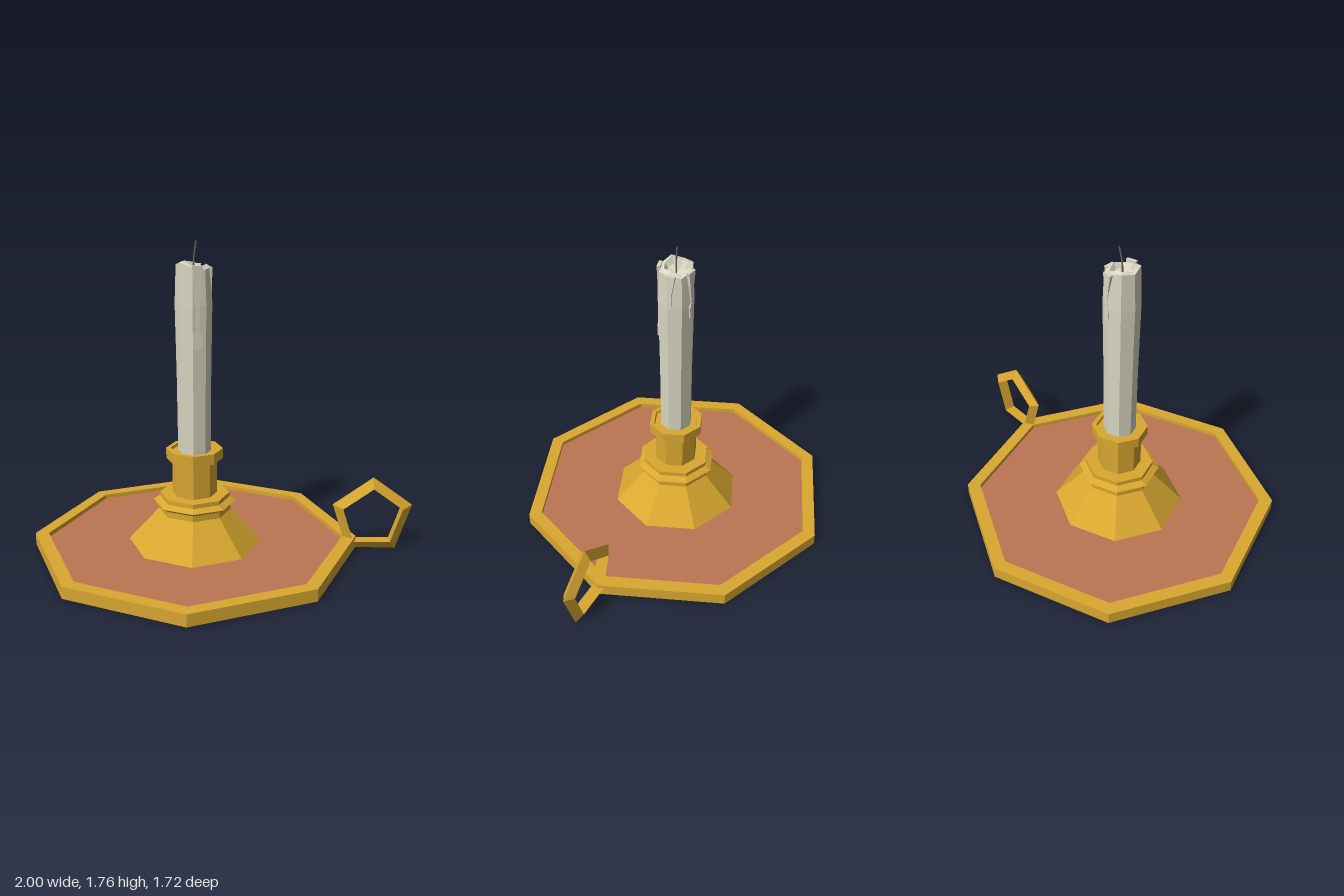
import * as THREE from 'three';

const mat = (name, color) => {
  const m = new THREE.MeshStandardMaterial({ color, flatShading: true });
  m.name = name;
  return m;
};

export function createModel() {
  const gold = mat('gold', 0xd9a830);
  const copper = mat('copper', 0xbc7552);
  const wax = mat('wax', 0xd9d7c3);
  const char = mat('charred wick', 0x66645c);

  const model = new THREE.Group();
  model.name = 'candlestick';
  // Everything but the handle turns around the candle axis
  const stand = new THREE.Group();
  stand.name = 'stand';
  stand.position.x = -0.14;
  model.add(stand);

  const add = (parent, name, geometry, material) => {
    const mesh = new THREE.Mesh(geometry, material);
    mesh.name = name;
    parent.add(mesh);
    return mesh;
  };
  // Eight-sided turned part from [radius, height] pairs, listed bottom to top
  const turned = (points) => new THREE.LatheGeometry(
    points.map(([r, y]) => new THREE.Vector2(r, y)), 8, Math.PI / 8 - 0.015);

  // Tray with raised rim
  const floorY = 0.045;
  add(stand, 'trayRim', turned([[0, 0], [0.927, 0], [0.927, 0.07], [0.85, 0.07], [0.85, floorY]]), gold);
  add(stand, 'trayFloor', turned([[0.85, floorY], [0, floorY]]), copper);

  // Sloped foot, moulding, column and cup
  add(stand, 'foot', turned([[0.38, floorY], [0.205, 0.235]]), gold);
  add(stand, 'moulding', turned([
    [0.205, 0.235], [0.205, 0.27], [0.235, 0.29], [0.198, 0.31], [0.198, 0.335], [0.12, 0.335],
  ]), gold);
  add(stand, 'column', turned([[0.126, 0.33], [0.126, 0.54]]), gold);
  add(stand, 'cup', turned([
    [0.12, 0.54], [0.16, 0.54], [0.16, 0.6], [0.135, 0.6], [0.13, 0.585], [0, 0.585],
  ]), gold);

  // Candle, with a melted top that is uneven and lower towards +x
  const candle = turned([
    [0.092, 0.58], [0.095, 1.0], [0.102, 1.42], [0.094, 1.625], [0.068, 1.635], [0.05, 1.6], [0, 1.59],
  ]);
  const p = candle.attributes.position;
  for (let i = 0; i < p.count; i++) {
    const x = p.getX(i), z = p.getZ(i);
    if (p.getY(i) > 1.5) p.setY(i, p.getY(i) - 0.16 * x + 0.01 * Math.sin(60 * z));
  }
  add(stand, 'candle', candle, wax);

  // Wax runs: a wide start, a thin neck and a drop at the end
  const drip = (angle, radius, top, bottom, bead) => {
    const s = new THREE.Shape([
      [-0.03, top], [-0.012, top - 0.13], [-0.008, bottom + 0.1], [-bead, bottom + 0.07],
      [-bead * 0.8, bottom + 0.01], [0, bottom], [bead * 0.8, bottom + 0.015],
      [bead, bottom + 0.075], [0.008, bottom + 0.11], [0.014, top - 0.1], [0.03, top],
    ].reverse().map(([x, y]) => new THREE.Vector2(x, y)));
    const g = new THREE.ExtrudeGeometry(s, { depth: 0.02, bevelEnabled: false });
    g.translate(0, 0, radius - 0.02);
    g.rotateY(angle);
    add(stand, 'waxDrip', g, wax);
  };
  drip(-0.12, 0.1, 1.635, 1.18, 0.028);
  drip(Math.PI / 2 - 0.3, 0.1, 1.615, 1.42, 0.012);
  drip(Math.PI * 0.84, 0.101, 1.625, 1.34, 0.02);

  // Bent wick
  const wickPath = new THREE.CatmullRomCurve3([
    new THREE.Vector3(0, 1.58, 0), new THREE.Vector3(0.004, 1.67, 0), new THREE.Vector3(0.019, 1.755, -0.006),
  ]);
  add(stand, 'wick', new THREE.TubeGeometry(wickPath, 4, 0.005, 5), char);

  // Five-sided ring handle with a triangular section
  const ring = new THREE.TorusGeometry(0.198, 0.04, 3, 5);
  ring.rotateZ(Math.PI / 2);
  const handle = add(model, 'handle', ring, gold);
  handle.position.set(0.79, 0.193, 0.405);
  handle.rotation.y = -0.4;

  return model;
}
